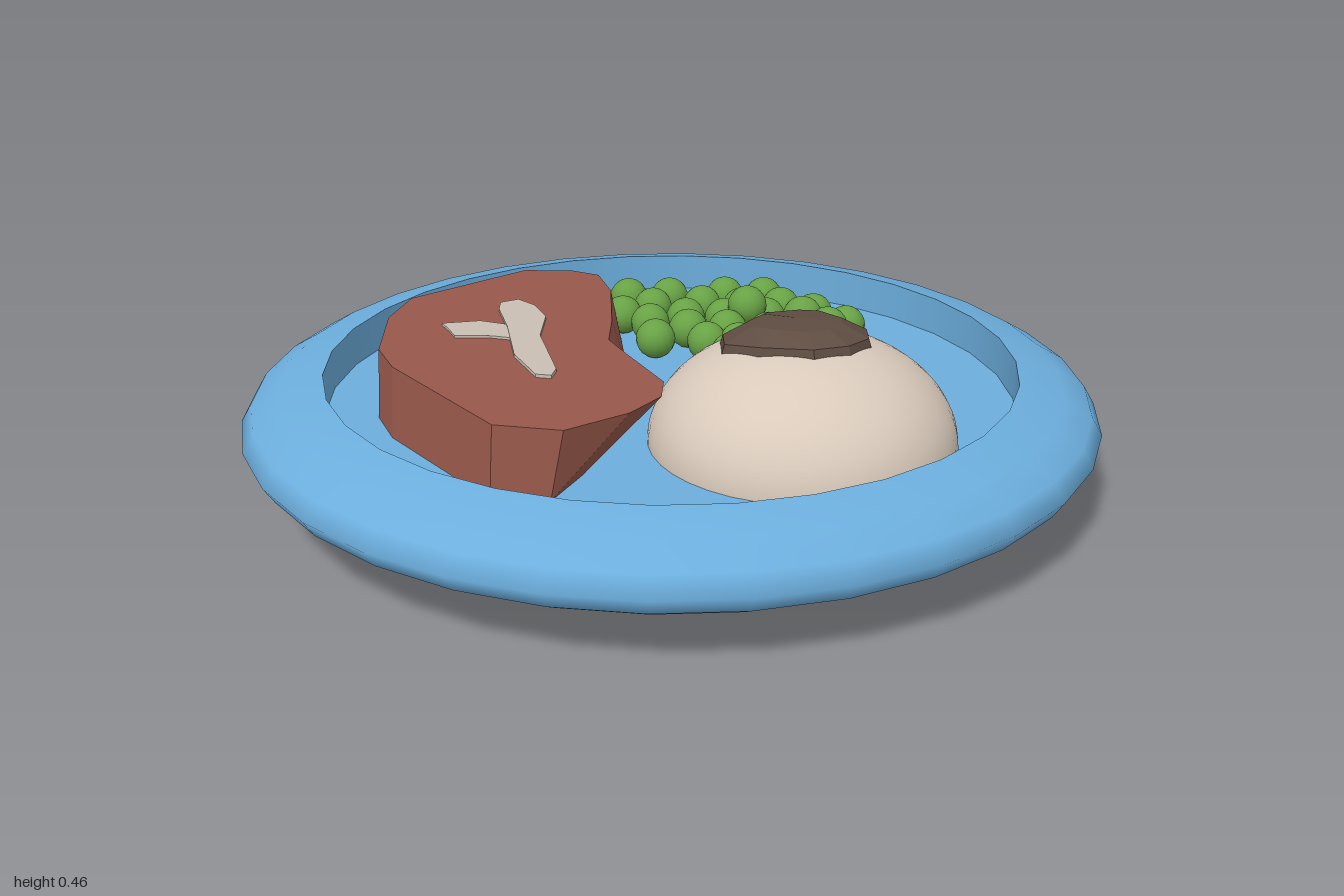
import * as THREE from 'three';

const mat = (name, color, flatShading = false) => {
  const m = new THREE.MeshStandardMaterial({ color });
  m.name = name;
  m.flatShading = flatShading;
  return m;
};

const FLOOR = 0.19;

// Slab from an [x, z, bottomShift] outline, with its own top and bottom height rules
function slab(outline, topY, bottomY) {
  const contour = outline.map(([x, z]) => new THREE.Vector2(x, z));
  const top = outline.map(([x, z]) => [x, topY(x, z), z]);
  const low = outline.map(([x, z, shift = 0]) => [x + shift, bottomY(x, z), z]);
  const pos = [];
  const tri = (a, b, c) => pos.push(...a, ...b, ...c);
  const clockwise = THREE.ShapeUtils.isClockWise(contour);
  for (const [a, b, c] of THREE.ShapeUtils.triangulateShape(contour, [])) {
    // make each cap triangle face the right way
    const A = contour[a], B = contour[b], C = contour[c];
    const up = (B.x - A.x) * (C.y - A.y) - (B.y - A.y) * (C.x - A.x) < 0;
    const [p, q] = up ? [b, c] : [c, b];
    tri(top[a], top[p], top[q]);
    tri(low[a], low[q], low[p]);
  }
  const n = outline.length;
  for (let k = 0; k < n; k++) {
    const [i, j] = clockwise ? [k, (k + 1) % n] : [(k + 1) % n, k];
    tri(low[i], low[j], top[j]);
    tri(low[i], top[j], top[i]);
  }
  const g = new THREE.BufferGeometry();
  g.setAttribute('position', new THREE.Float32BufferAttribute(pos, 3));
  g.computeVertexNormals();
  return g;
}

export function createModel() {
  const model = new THREE.Group();
  const blue = mat('plateBlue', 0x6caedd);
  const brown = mat('meatBrown', 0x9a5a4c, true);
  const bone = mat('boneCream', 0xcdc2b6, true);
  const cream = mat('potatoCream', 0xd9cabb);
  const dark = mat('gravyBrown', 0x5f4d42, true);
  const green = mat('peaGreen', 0x68a245);

  const add = (parent, name, geometry, material) => {
    const m = new THREE.Mesh(geometry, material);
    m.name = name;
    parent.add(m);
    return m;
  };

  // Plate: rounded body, upright inner wall and flat floor, with sharp edges between
  const plate = new THREE.Group();
  plate.name = 'plate';
  model.add(plate);
  const lathe = (name, pts) =>
    add(plate, name, new THREE.LatheGeometry(pts.map(p => new THREE.Vector2(...p)), 32), blue);
  lathe('plateBody', [[0, 0], [0.3, 0.01], [0.55, 0.03], [0.78, 0.066], [0.91, 0.105], [0.975, 0.143],
    [1, 0.182], [0.975, 0.224], [0.91, 0.262], [0.81, 0.285]]);
  lathe('plateWall', [[0.81, 0.285], [0.81, FLOOR]]);
  lathe('plateFloor', [[0.81, FLOOR], [0, FLOOR]]);

  // Meat: a sloping slice
  const meatTop = (x, z) => 0.304 - 0.067 * x + 0.052 * z;
  const meat = [
    [-0.425, -0.605], [-0.3, -0.64], [-0.225, -0.615], [-0.18, -0.47, 0.02], [-0.155, -0.19, 0.035],
    [-0.15, -0.03, 0.04], [-0.1, 0.07], [-0.005, 0.25, -0.12], [-0.005, 0.35, -0.14],
    [-0.065, 0.47, -0.1], [-0.19, 0.605, -0.03], [-0.335, 0.605, -0.01], [-0.6, 0.295, -0.01],
    [-0.655, 0.18, -0.01], [-0.685, -0.07], [-0.665, -0.25],
  ];
  add(model, 'meat', slab(meat, meatTop, () => FLOOR), brown);

  // T-shaped bone lying on the slice
  const longBone = [
    [-0.4, -0.29], [-0.355, -0.25], [-0.315, -0.16], [-0.31, 0], [-0.245, 0.24], [-0.25, 0.29],
    [-0.285, 0.29], [-0.35, 0.16], [-0.395, -0.05], [-0.435, -0.19], [-0.44, -0.25],
  ];
  const crossBone = [
    [-0.55, -0.04], [-0.465, -0.085], [-0.385, -0.07], [-0.35, 0.035], [-0.42, 0.03],
    [-0.505, 0.05], [-0.525, 0.005],
  ];
  const raised = h => (x, z) => meatTop(x, z) + h;
  add(model, 'longBone', slab(longBone, raised(0.008), raised(-0.001)), bone);
  add(model, 'crossBone', slab(crossBone, raised(0.006), raised(-0.001)), bone);

  // Mashed potato mound
  const C = { x: 0.303, z: 0.26, r: 0.345, h: 0.245 };
  const mound = add(model, 'mashedPotato',
    new THREE.SphereGeometry(1, 40, 16, 0, Math.PI * 2, 0, Math.PI / 2), cream);
  mound.scale.set(C.r, C.h, C.r);
  mound.position.set(C.x, FLOOR, C.z);

  // Gravy: faceted cap following the mound
  const edge = [
    [0.18, 0.025], [0.3, 0.05], [0.375, 0.07], [0.45, 0.19], [0.45, 0.27], [0.4, 0.34],
    [0.32, 0.375], [0.2, 0.35], [0.12, 0.285], [0.115, 0.2], [0.165, 0.11],
  ];
  const moundY = (x, z) =>
    FLOOR + C.h * Math.sqrt(Math.max(0, 1 - ((x - C.x) ** 2 + (z - C.z) ** 2) / C.r ** 2));
  const middle = [0.285, 0.215];
  const ring = (s, lift) => edge.map(([x, z]) => {
    const px = middle[0] + (x - middle[0]) * s, pz = middle[1] + (z - middle[1]) * s;
    return [px, Math.min(0.46, moundY(px, pz) + lift), pz];
  });
  const rings = [ring(1, -0.008), ring(0.95, 0.018), ring(0.6, 0.032), ring(0, 0.04)];
  const pos = [];
  for (let r = 0; r < 3; r++) {
    for (let i = 0; i < edge.length; i++) {
      const j = (i + 1) % edge.length;
      const [a, b, c, d] = [rings[r][i], rings[r][j], rings[r + 1][j], rings[r + 1][i]];
      pos.push(...a, ...c, ...b);
      if (r < 2) pos.push(...a, ...d, ...c);
    }
  }
  const gravy = new THREE.BufferGeometry();
  gravy.setAttribute('position', new THREE.Float32BufferAttribute(pos, 3));
  gravy.computeVertexNormals();
  add(model, 'gravy', gravy, dark);

  // Peas: one layer on the floor, a few resting on top
  const peas = new THREE.Group();
  peas.name = 'peas';
  model.add(peas);
  const peaGeometry = new THREE.SphereGeometry(0.05, 16, 12);
  const layer = (y, spots) => spots.forEach(([x, z]) =>
    add(peas, 'pea', peaGeometry, green).position.set(x, y, z));
  layer(0.238, [
    [-0.14, -0.58], [-0.03, -0.59], [0.12, -0.605], [0.225, -0.605], [-0.07, -0.5], [0.06, -0.525],
    [0.165, -0.51], [0.27, -0.52], [0.355, -0.47], [-0.145, -0.43], [-0.07, -0.37], [0.02, -0.42],
    [0.12, -0.42], [0.23, -0.43], [0.32, -0.38], [0.435, -0.375], [0.03, -0.33], [0.13, -0.33],
    [0.235, -0.315], [0.39, -0.295], [-0.05, -0.25], [0.08, -0.235], [0.16, -0.23], [0.245, -0.22],
    [0.345, -0.21], [0.445, -0.2], [0.14, -0.15], [0.245, -0.15], [0.355, -0.145],
  ]);
  layer(0.285, [[0.18, -0.385], [0.32, -0.305], [0.38, -0.225]]);

  return model;
}
